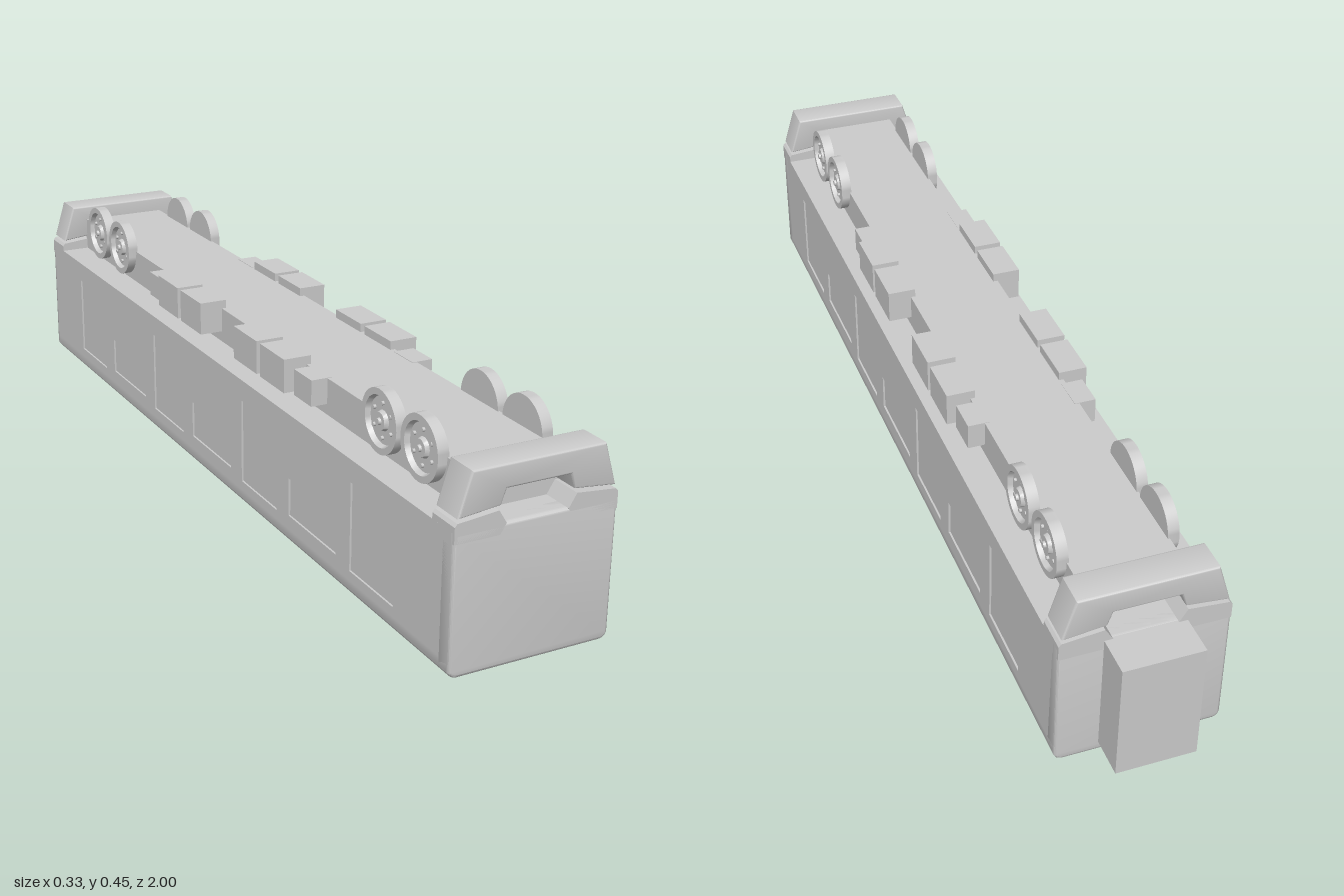
import * as THREE from 'three';
import { toCreasedNormals } from 'three/addons/utils/BufferGeometryUtils.js';

const grey = new THREE.MeshStandardMaterial({ color: 0xcccccc });

function add(parent, name, geometry, x = 0, y = 0, z = 0) {
  const mesh = new THREE.Mesh(geometry, grey);
  mesh.name = name;
  mesh.position.set(x, y, z);
  parent.add(mesh);
  return mesh;
}

const polygon = (pts) => new THREE.Shape(pts.map(([x, y]) => new THREE.Vector2(x, y)));

// Mirrors a right-hand outline (listed bottom to top) into a closed symmetric shape
const symmetric = (pts) => polygon([...pts, ...pts.map(([x, y]) => [-x, y]).reverse()]);

// Points of a rounded lower corner ending at half width w, starting at height y
const corner = (w, y, r) => Array.from({ length: 7 }, (_, i) => {
  const a = (i / 6) * Math.PI / 2;
  return [w - r + r * Math.sin(a), y + r - r * Math.cos(a)];
});

// Extrudes along z from z0 to z1, with the bevel kept inside the outline
function extrude(shape, z0, z1, bevel = 0) {
  const g = new THREE.ExtrudeGeometry(shape, {
    depth: z1 - z0 - 2 * bevel, bevelEnabled: bevel > 0, bevelSize: bevel,
    bevelThickness: bevel, bevelOffset: -bevel, bevelSegments: 3,
  });
  g.translate(0, 0, z0 + bevel);
  return toCreasedNormals(g, 0.6);
}

const rect = (cx, cy, w, h) => polygon([
  [cx - w / 2, cy - h / 2], [cx + w / 2, cy - h / 2], [cx + w / 2, cy + h / 2], [cx - w / 2, cy + h / 2]]);

// Wheel turned around its axle: flat tread, raised rim, sunken web, hub
const wheelProfile = [[0, 0], [0.063, 0], [0.063, 0.023], [0.05, 0.023], [0.046, 0.013],
  [0.02, 0.013], [0.017, 0.021], [0.007, 0.021], [0.006, 0.026], [0, 0.026]];
const wheelGeometry = toCreasedNormals(
  new THREE.LatheGeometry(wheelProfile.map(([r, y]) => new THREE.Vector2(r, y)), 40), 0.5);

function makeWheel() {
  const wheel = new THREE.Group();
  wheel.name = 'wheel';
  add(wheel, 'wheelDisc', wheelGeometry);
  for (let i = 0; i < 6; i++) {
    const a = (i / 6) * Math.PI * 2;
    add(wheel, 'wheelBolt', new THREE.CylinderGeometry(0.004, 0.004, 0.006, 10),
      0.034 * Math.cos(a), 0.015, 0.034 * Math.sin(a));
  }
  wheel.rotation.z = -Math.PI / 2;
  return wheel;
}

// One long side: wall skin with door and window recesses, wheels, equipment
function makeSide() {
  const side = new THREE.Group();
  side.name = 'side';

  const wall = rect(0, 0.18, 1.9, 0.22);
  for (const z of [-0.69, -0.23, 0.23, 0.69]) wall.holes.push(rect(z, 0.18, 0.16, 0.18));
  for (const z of [-0.46, 0, 0.46]) wall.holes.push(rect(z, 0.14, 0.195, 0.08));
  const skin = add(side, 'sideWall', extrude(wall, 0, 0.004), 0.162);
  skin.rotation.y = Math.PI / 2;

  for (const z of [-0.765, -0.625, 0.625, 0.765]) {
    const wheel = makeWheel();
    wheel.position.set(0.096, 0.387, z);
    side.add(wheel);
  }
  for (const s of [-1, 1]) {
    for (const z of [0.135, 0.257]) {
      add(side, 'equipmentBox', new THREE.BoxGeometry(0.06, 0.07, 0.106), 0.12, 0.373, s * z);
    }
    add(side, 'smallEquipmentBox', new THREE.BoxGeometry(0.045, 0.054, 0.072), 0.1125, 0.364, s * 0.36);
  }
  return side;
}

// One end: notched sill corners and the skirt above them
function makeEnd() {
  const end = new THREE.Group();
  end.name = 'end';
  const sill = [[0.063, 0.315], [0.075, 0.295], [0.166, 0.295], [0.166, 0.327], [0.161, 0.333], [0.079, 0.341]];
  add(end, 'sillCorner', extrude(polygon(sill), 0.89, 0.96));
  add(end, 'sillCorner', extrude(polygon(sill.map(([x, y]) => [-x, y]).reverse()), 0.89, 0.96));
  const skirt = symmetric([[0.065, 0.378], [0.075, 0.349], [0.16, 0.34], [0.135, 0.423]]);
  add(end, 'endSkirt', extrude(skirt, 0.89, 0.96, 0.004));
  return end;
}

export function createModel() {
  const root = new THREE.Group();
  root.name = 'railCar';
  const car = new THREE.Group();
  car.name = 'car';
  car.position.z = 0.04;
  root.add(car);

  // Main shell, with a shallow seat in each side for the wall skin
  const shell = symmetric([...corner(0.166, 0.04, 0.016),
    [0.166, 0.07], [0.162, 0.07], [0.162, 0.29], [0.166, 0.29], [0.166, 0.315]]);
  add(car, 'bodyShell', extrude(shell, -0.95, 0.95));
  const endCap = symmetric([...corner(0.166, 0.04, 0.016), [0.166, 0.315]]);
  add(car, 'frontWall', extrude(endCap, 0.92, 0.96, 0.006));
  add(car, 'rearWall', extrude(endCap, -0.96, -0.92, 0.006));

  // Raised underframe carrying the running gear
  add(car, 'underframe', new THREE.BoxGeometry(0.2, 0.085, 1.79), 0, 0.3475, 0);

  for (const turn of [0, Math.PI]) {
    const side = makeSide();
    const end = makeEnd();
    side.rotation.y = end.rotation.y = turn;
    car.add(side, end);
  }

  // Rounded roof units on the lower face
  const unit = symmetric([...corner(0.106, 0, 0.032), [0.106, 0.045]]);
  for (const z of [0.535, -0.32]) add(car, 'roofUnit', extrude(unit, z - 0.16, z + 0.16));

  // Gangway at the rear end
  add(car, 'gangway', new THREE.BoxGeometry(0.16, 0.255, 0.085), 0, 0.1875, -0.9975);
  return root;
}
